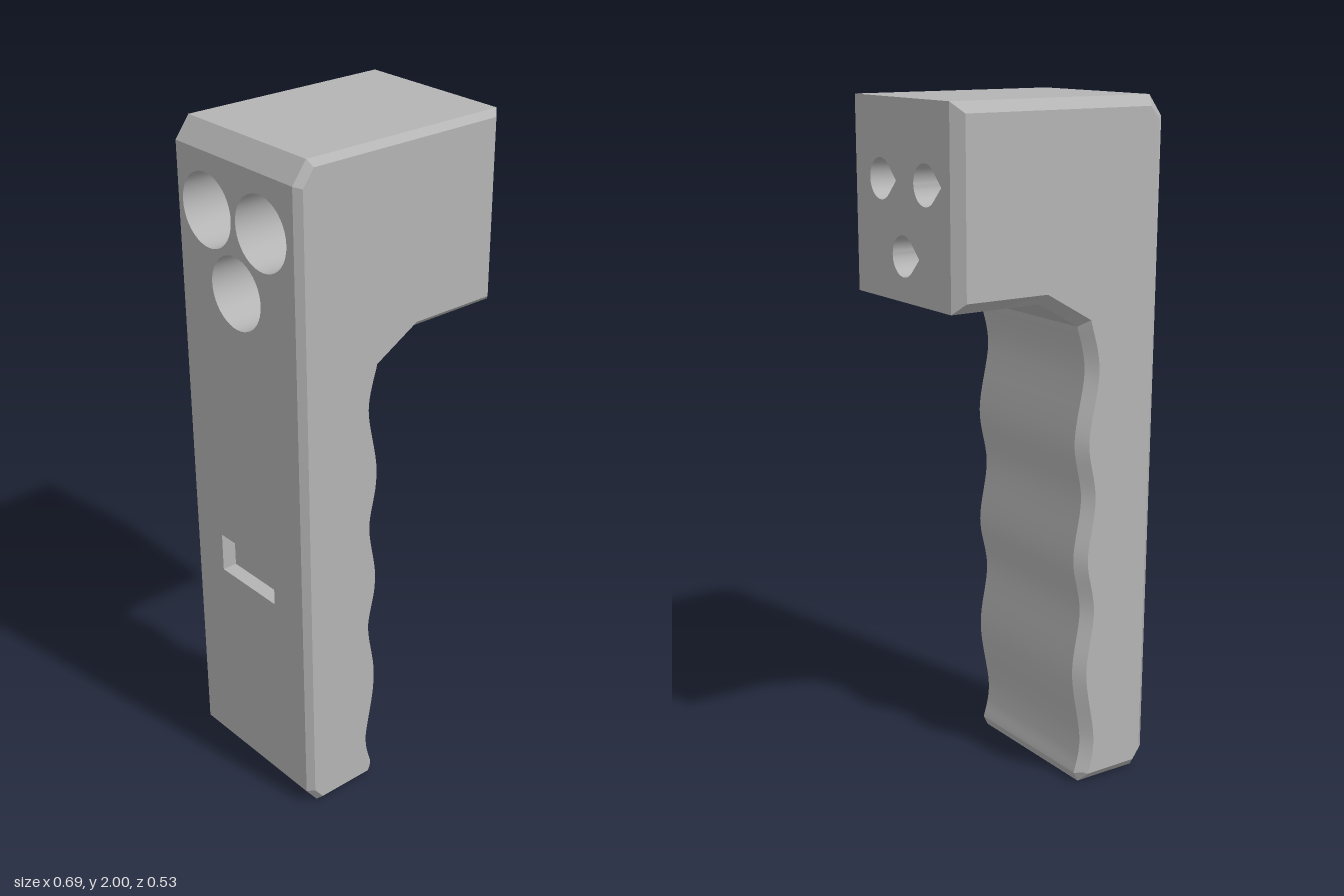
import * as THREE from 'three';
import { toCreasedNormals } from 'three/addons/utils/BufferGeometryUtils.js';

const V2 = (x, y) => new THREE.Vector2(x, y);
const V3 = (x, y, z) => new THREE.Vector3(x, y, z);

// Joins two loops of points with quads; skip lists segments left open
function band(out, a, b, skip = []) {
  for (let i = 0; i < a.length; i++) {
    if (skip.includes(i)) continue;
    const j = (i + 1) % a.length;
    out.push(a[i], a[j], b[j], a[i], b[j], b[i]);
  }
}

// Flat face with holes, placed in space by a mapping
function face(out, outline, holes, map, flip) {
  const shape = new THREE.Shape(outline);
  holes.forEach((h) => shape.holes.push(new THREE.Path(h)));
  const g = new THREE.ShapeGeometry(shape);
  const p = g.attributes.position;
  const idx = g.index.array;
  for (let i = 0; i < idx.length; i += 3) {
    const t = [idx[i], idx[i + 1], idx[i + 2]].map((k) => map(V2(p.getX(k), p.getY(k))));
    out.push(...(flip ? t.reverse() : t));
  }
}

// Mitred inset of a counter-clockwise loop
function inset(loop, d) {
  const n = loop.length;
  return loop.map((p, i) => {
    const normal = (a, b) => V2(a.y - b.y, b.x - a.x).normalize();
    const n1 = normal(loop[(i + n - 1) % n], p);
    const n2 = normal(p, loop[(i + 1) % n]);
    const m = n1.clone().add(n2);
    return p.clone().addScaledVector(m, d / (1 + n1.dot(n2)));
  });
}

function toMesh(name, points, material) {
  const g = toCreasedNormals(new THREE.BufferGeometry().setFromPoints(points), 0.45);
  const mesh = new THREE.Mesh(g, material);
  mesh.name = name;
  return mesh;
}

export function createModel() {
  const group = new THREE.Group();
  group.name = 'handle';
  const grey = new THREE.MeshStandardMaterial({ color: 0xb4b4b4 });
  grey.name = 'grey plastic';

  // Side profile: wavy finger grip, head overhang, sloping back
  const grip = new THREE.SplineCurve([
    V2(-0.07, 0.03), V2(-0.09, 0.14), V2(-0.06, 0.35), V2(-0.085, 0.54), V2(-0.06, 0.7),
    V2(-0.085, 0.88), V2(-0.06, 1.05), V2(-0.092, 1.25), V2(-0.065, 1.38),
  ]).getPoints(64);
  const profile = [
    V2(-0.285, 0), V2(-0.085, 0), ...grip,
    V2(0.065, 1.455), V2(0.347, 1.455), V2(0.347, 2), V2(-0.303, 2),
    V2(-0.347, 1.94), V2(-0.323, 0.05),
  ];
  const n = profile.length;
  const zBack = -0.235;
  const zFront = 0.245;
  const at = (loop, z) => loop.map((p) => V3(p.x, p.y, z));

  // Hole outlines, as (z, y)
  const centres = [[0.113, 1.78], [-0.113, 1.78], [0, 1.58]];
  const circle = ([cz, cy], r) => Array.from({ length: 40 }, (_, i) => {
    const a = (i / 40) * Math.PI * 2;
    return V2(cz + r * Math.cos(a), cy + r * Math.sin(a));
  });
  const teardrop = ([cz, cy], r) => {
    const pts = [V2(cz - r * Math.SQRT2, cy)];
    for (let i = 0; i <= 30; i++) {
      const a = Math.PI * (1.25 + (1.5 * i) / 30);
      pts.push(V2(cz + r * Math.cos(a), cy + r * Math.sin(a)));
    }
    return pts;
  };
  const bores = centres.map((c) => circle(c, 0.104));
  const drops = centres.map((c) => teardrop(c, 0.057));
  const rect = (z0, z1, y0, y1) => [V2(z0, y0), V2(z1, y0), V2(z1, y1), V2(z0, y1)];
  const slot = rect(-0.12, 0.12, 0.66, 0.78);

  // Planes across the handle, from back wall to nose
  const backX = (y) => -0.323 - 0.024 * ((y - 0.05) / 1.89);
  const onBack = (p) => V3(backX(p.y), p.y, p.x);
  const onX = (x) => (p) => V3(x, p.y, p.x);
  const noseX = 0.347;
  const boreEnd = 0.2;

  // Outer shell with chamfered side edges
  const shell = [];
  const backCap = inset(profile, 0.03);
  const frontCap = inset(profile, 0.018);
  band(shell, at(backCap, -0.264), at(profile, zBack));
  band(shell, at(profile, zBack), at(profile, zFront), [n - 5, n - 2]);
  band(shell, at(profile, zFront), at(frontCap, 0.264));
  face(shell, backCap, [], (p) => V3(p.x, p.y, -0.264), true);
  face(shell, frontCap, [], (p) => V3(p.x, p.y, 0.264), false);
  face(shell, rect(zBack, zFront, 0.05, 1.94), [...bores, slot], onBack, false);
  face(shell, rect(zBack, zFront, 1.455, 2), drops, onX(noseX), true);
  group.add(toMesh('body', shell, grey));

  // Wide bores narrowing to teardrop outlets
  bores.forEach((bore, i) => {
    const pts = [];
    band(pts, bore.map(onBack), bore.map(onX(boreEnd)));
    face(pts, bore, [drops[i]], onX(boreEnd), false);
    band(pts, drops[i].map(onX(boreEnd)), drops[i].map(onX(noseX)));
    group.add(toMesh('bore' + (i + 1), pts, grey));
  });

  // Shallow rectangular recess in the back wall
  const recess = [];
  const floor = (p) => V3(backX(p.y) + 0.045, p.y, p.x);
  band(recess, slot.map(onBack), slot.map(floor));
  face(recess, slot, [], floor, false);
  group.add(toMesh('switchRecess', recess, grey));

  return group;
}
